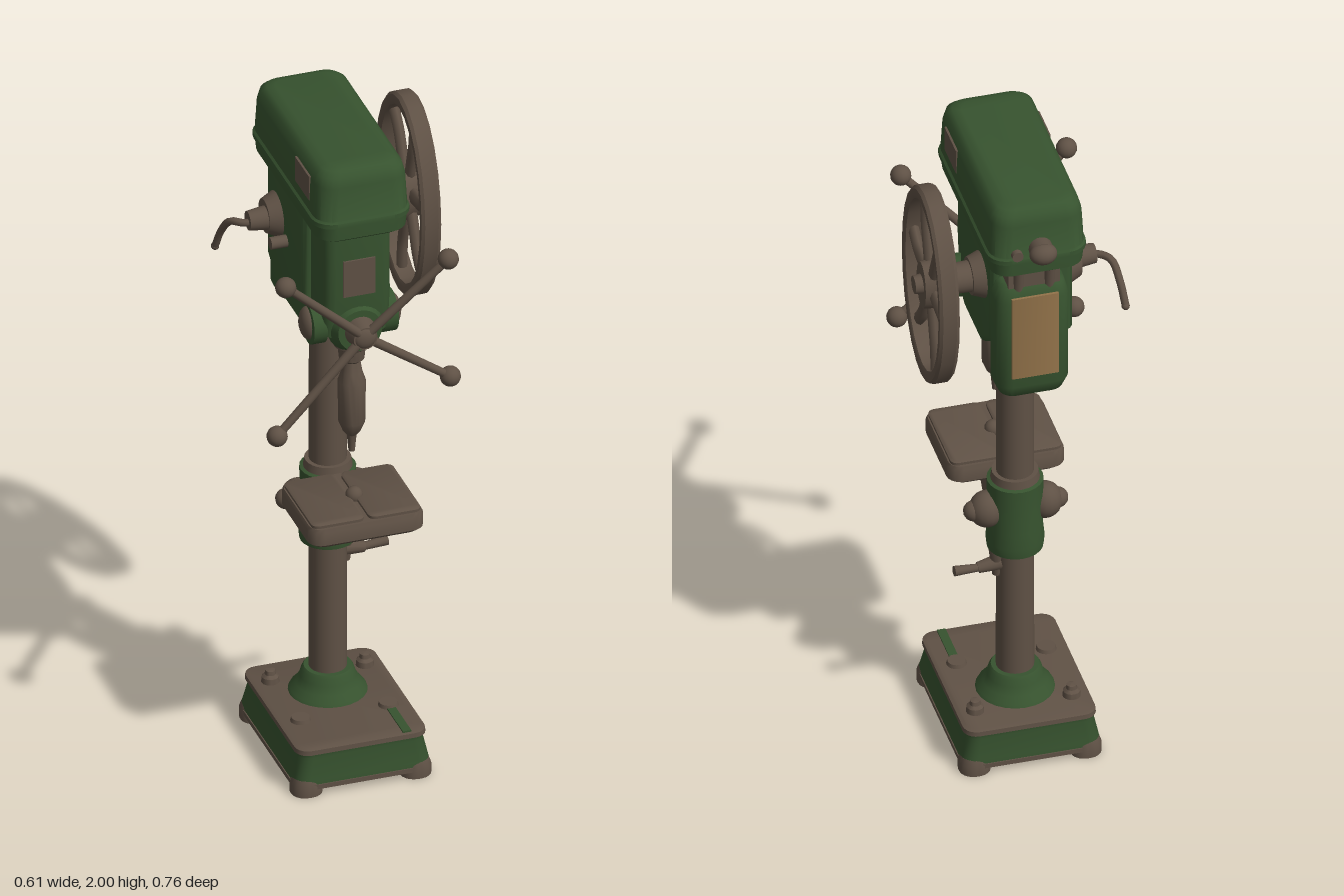
import * as THREE from 'three';
import { toCreasedNormals } from 'three/addons/utils/BufferGeometryUtils.js';

const paint = (name, color) => {
  const m = new THREE.MeshStandardMaterial({ color });
  m.name = name;
  return m;
};

// Stack of rounded rectangles: [y, halfWidth, halfDepth, cornerRadius]
function loft(sections) {
  const pos = [], idx = [], n = 24;
  for (const [y, w, d, r] of sections) {
    for (let c = 0; c < 4; c++) {
      const sx = c === 0 || c === 3 ? 1 : -1, sz = c < 2 ? 1 : -1;
      for (let k = 0; k < 6; k++) {
        const a = (c + k / 5) * Math.PI / 2;
        pos.push(sx * (w - r) + Math.cos(a) * r, y, sz * (d - r) + Math.sin(a) * r);
      }
    }
  }
  const last = (sections.length - 1) * n;
  for (let s = 0; s < last; s += n) {
    for (let i = 0; i < n; i++) {
      const j = (i + 1) % n;
      idx.push(s + i, s + n + i, s + j, s + j, s + n + i, s + n + j);
    }
  }
  for (let i = 1; i < n - 1; i++) idx.push(0, i, i + 1, last, last + i + 1, last + i);
  const g = new THREE.BufferGeometry();
  g.setAttribute('position', new THREE.Float32BufferAttribute(pos, 3));
  g.setIndex(idx);
  return toCreasedNormals(g, 0.7);
}

// Side profile of [z, y] points, extruded across x
function sideExtrude(points, half, bevel) {
  const shape = new THREE.Shape(points.map(p => new THREE.Vector2(...p)));
  const depth = 2 * (half - bevel);
  const g = new THREE.ExtrudeGeometry(shape, { depth, bevelSize: bevel, bevelThickness: bevel, bevelSegments: 3 });
  g.translate(0, 0, -depth / 2).rotateY(-Math.PI / 2);
  return toCreasedNormals(g, 0.7);
}

const lathe = pts => toCreasedNormals(new THREE.LatheGeometry(pts.map(p => new THREE.Vector2(...p)), 24), 0.6);
const tube = (pts, r) => new THREE.TubeGeometry(new THREE.CatmullRomCurve3(pts.map(p => new THREE.Vector3(...p))), 16, r, 8);

export function createModel() {
  const root = new THREE.Group();
  root.name = 'drillPress';
  const green = paint('green enamel', 0x37532f);
  const steel = paint('brown steel', 0x5f5145);
  const tan = paint('tan label', 0x93734a);

  const add = (name, geo, mat, x = 0, y = 0, z = 0, parent = root) => {
    const m = new THREE.Mesh(geo, mat);
    m.name = name;
    m.position.set(x, y, z);
    parent.add(m);
    return m;
  };
  // Cylinder along a chosen axis; r1 is the radius at the positive end
  const cyl = (name, mat, r1, r0, h, x, y, z, axis = 'y', parent = root) => {
    const g = new THREE.CylinderGeometry(r1, r0, h, 24);
    if (axis === 'x') g.rotateZ(-Math.PI / 2);
    if (axis === 'z') g.rotateX(Math.PI / 2);
    return add(name, g, mat, x, y, z, parent);
  };
  const rod = (name, a, b, r0, r1) => {
    const p = new THREE.Vector3(...a), q = new THREE.Vector3(...b);
    const m = add(name, new THREE.CylinderGeometry(r1, r0, p.distanceTo(q), 12), steel);
    m.position.copy(p).lerp(q, 0.5);
    m.quaternion.setFromUnitVectors(new THREE.Vector3(0, 1, 0), q.sub(p).normalize());
  };

  // Base
  add('base', loft([[0.025, 0.2, 0.255, 0.04], [0.05, 0.2, 0.255, 0.04], [0.115, 0.187, 0.242, 0.04], [0.13, 0.19, 0.245, 0.04]]), green, 0, 0, 0.03);
  add('baseTop', loft([[0.128, 0.193, 0.248, 0.04], [0.142, 0.192, 0.247, 0.04], [0.146, 0.182, 0.237, 0.035]]), steel, 0, 0, 0.03);
  add('baseRim', loft([[0.022, 0.203, 0.258, 0.04], [0.036, 0.203, 0.258, 0.04]]), steel, 0, 0, 0.03);
  add('baseUnderside', loft([[0.016, 0.19, 0.245, 0.04], [0.022, 0.19, 0.245, 0.04]]), green, 0, 0, 0.03);
  for (const sx of [-1, 1]) {
    for (const sz of [-1, 1]) add('foot', loft([[0, 0.045, 0.045, 0.04], [0.03, 0.045, 0.045, 0.04], [0.05, 0.038, 0.038, 0.035]]), steel, sx * 0.161, 0, 0.03 + sz * 0.216);
    add('baseLug', lathe([[0.026, 0], [0.024, 0.02], [0.016, 0.028], [0.014, 0.04], [0, 0.044]]), steel, sx * 0.14, 0.143, -0.12);
    cyl('baseBoss', steel, 0.026, 0.03, 0.014, sx * 0.13, 0.15, 0.11);
  }
  add('baseSlot', new THREE.BoxGeometry(0.025, 0.008, 0.16), green, 0.13, 0.146, 0.19);

  // Column and its flange
  cyl('column', steel, 0.053, 0.054, 1.3, 0, 0.8, -0.033);
  add('columnFlange', lathe([[0.115, 0.14], [0.108, 0.155], [0.092, 0.172], [0.08, 0.195], [0.074, 0.215], [0.068, 0.224], [0.05, 0.224]]), green, 0, 0, -0.033);
  cyl('columnCollar', steel, 0.064, 0.06, 0.08, 0, 1.4, -0.033);

  // Table and bracket
  add('tableSleeve', lathe([[0.05, 0.64], [0.08, 0.64], [0.083, 0.67], [0.078, 0.72], [0.08, 0.87], [0.05, 0.88]]), green, 0, 0, -0.033);
  cyl('sleeveRing', steel, 0.066, 0.07, 0.025, 0, 0.885, -0.033);
  add('tableArm', sideExtrude([[0.21, 0.825], [0.2, 0.79], [0.13, 0.755], [0.07, 0.69], [0.04, 0.67], [-0.02, 0.67], [-0.02, 0.825]], 0.055, 0.012), steel);
  for (const s of [-1, 1]) {
    add('clampLug', new THREE.SphereGeometry(0.05, 18, 12).scale(1, 1.1, 1), steel, s * 0.085, 0.78, -0.04);
    add('clampBolt', new THREE.SphereGeometry(0.03, 14, 10), steel, s * 0.122, 0.78, -0.04);
  }
  add('table', loft([[0.82, 0.16, 0.135, 0.04], [0.83, 0.17, 0.145, 0.04], [0.87, 0.17, 0.145, 0.04], [0.88, 0.165, 0.14, 0.035]]), steel, 0, 0, 0.178);
  for (const s of [-1, 1]) {
    add('tablePad', loft([[0.875, 0.077, 0.132, 0.02], [0.888, 0.077, 0.132, 0.02], [0.892, 0.07, 0.125, 0.015]]), steel, s * 0.084, 0, 0.178);
  }
  add('tableUnderside', loft([[0.816, 0.145, 0.12, 0.035], [0.822, 0.145, 0.12, 0.035]]), green, 0, 0, 0.178);
  add('tableKnob', new THREE.SphereGeometry(0.025, 16, 10), steel, 0.005, 0.89, 0.178);
  rod('crankBoss', [0.055, 0.64, -0.04], [0.055, 0.55, -0.04], 0.024, 0.013);
  rod('crankShaft', [0.045, 0.59, -0.04], [0.11, 0.58, -0.04], 0.024, 0.016);
  rod('crankHandle', [0.1, 0.58, -0.04], [0.18, 0.585, -0.045], 0.011, 0.015);

  // Head casting: wide rear body and a narrower front
  add('headBody', sideExtrude([[0.09, 1.8], [0.09, 1.45], [0.06, 1.435], [-0.1, 1.435], [-0.19, 1.5], [-0.19, 1.8]], 0.122, 0.022), green);
  add('headFront', sideExtrude([[0.2, 1.8], [0.205, 1.57], [0.19, 1.46], [0.13, 1.445], [0, 1.445], [0, 1.8]], 0.1, 0.032), green);
  add('beltCover', loft([
    [1.775, 0.12, 0.285, 0.05], [1.785, 0.134, 0.298, 0.055], [1.825, 0.138, 0.3, 0.055], [1.828, 0.144, 0.305, 0.06], [1.842, 0.144, 0.305, 0.06],
    [1.848, 0.138, 0.3, 0.055], [1.95, 0.133, 0.295, 0.055], [1.98, 0.125, 0.287, 0.05], [1.994, 0.11, 0.272, 0.045], [2, 0.088, 0.25, 0.035],
  ]), green, 0.005, 0, -0.02);
  for (const s of [-1, 1]) add('coverPlate', loft([[1.878, 0.004, 0.06, 0.003], [1.955, 0.004, 0.06, 0.003]]), steel, 0.005 + s * 0.134, 0, 0.13);
  add('frontPlate', new THREE.BoxGeometry(0.095, 0.115, 0.008), steel, 0, 1.63, 0.236);
  add('rearKnob', new THREE.SphereGeometry(0.04, 18, 12).scale(1, 0.8, 0.8), steel, 0.006, 1.87, -0.35);
  cyl('rearKnobStem', steel, 0.034, 0.034, 0.05, 0.006, 1.87, -0.325, 'z');
  cyl('rearScrew', steel, 0.016, 0.016, 0.03, 0.075, 1.86, -0.32, 'z');

  // Motor housing behind the head
  add('motorHousing', loft([
    [1.32, 0.07, 0.03, 0.025], [1.335, 0.092, 0.05, 0.04], [1.37, 0.107, 0.06, 0.045],
    [1.66, 0.107, 0.06, 0.045], [1.7, 0.095, 0.05, 0.04], [1.71, 0.08, 0.04, 0.03],
  ]), green, 0.012, 0, -0.225);
  add('motorLabel', loft([[1.405, 0.068, 0.004, 0.002], [1.68, 0.068, 0.004, 0.002]]), tan, 0.012, 0, -0.287);
  add('motorBracket', new THREE.BoxGeometry(0.15, 0.06, 0.09), steel, 0.01, 1.735, -0.225);
  for (const s of [-1, 1]) rod('motorStud', [0.01 + s * 0.045, 1.69, -0.26], [0.01 + s * 0.045, 1.79, -0.275], 0.016, 0.016);

  // Side bosses
  for (const s of [-1, 1]) {
    cyl('shaftBoss', steel, s > 0 ? 0.055 : 0.07, s > 0 ? 0.07 : 0.05, 0.04, s * 0.138, 1.66, -0.12, 'x');
    cyl('sideScrew', steel, 0.018, 0.018, 0.05, s * 0.145, 1.62, -0.035, 'x');
    cyl('feedBoss', green, 0.062, 0.062, 0.04, s * 0.105, 1.46, 0.155, 'x');
    add('feedCap', new THREE.SphereGeometry(0.042, 16, 10).scale(0.65, 1.2, 1), steel, s * 0.122, 1.46, 0.155);
  }
  cyl('leverCollar', steel, 0.036, 0.028, 0.06, -0.18, 1.66, -0.11, 'x');

  // Hooked lever on the right side
  add('hookLever', tube([[-0.17, 1.66, -0.105], [-0.22, 1.655, -0.11], [-0.25, 1.65, -0.14], [-0.264, 1.6, -0.18], [-0.272, 1.535, -0.21]], 0.011), steel);
  add('hookTip', new THREE.SphereGeometry(0.012, 10, 8), steel, -0.272, 1.535, -0.21);

  // Oval flywheel on the left side
  const wheel = new THREE.Group();
  wheel.name = 'flywheel';
  wheel.position.set(0.268, 1.655, -0.119);
  wheel.scale.set(1, 1, 0.645);
  root.add(wheel);
  const ring = lathe([[0.276, -0.024], [0.285, -0.029], [0.308, -0.029], [0.316, -0.02], [0.316, 0.02], [0.308, 0.029], [0.285, 0.029], [0.276, 0.024], [0.276, -0.024]]);
  add('wheelRim', ring.rotateZ(-Math.PI / 2), steel, 0, 0, 0, wheel);
  for (let i = 0; i < 6; i++) {
    const at = (a, r) => [0, Math.cos(a) * r, Math.sin(a) * r];
    const a = i * Math.PI / 3 + 0.3;
    const spoke = tube([at(a - 0.1, 0.03), at(a + 0.06, 0.12), at(a + 0.08, 0.2), at(a, 0.29)], 0.025);
    add('wheelSpoke', spoke.scale(0.65, 1, 1), steel, 0, 0, 0, wheel);
  }
  cyl('wheelHub', steel, 0.075, 0.085, 0.056, 0, 0, 0, 'x', wheel);
  cyl('wheelShaft', steel, 0.042, 0.046, 0.12, 0.2, 1.66, -0.12, 'x');
  cyl('wheelCap', steel, 0.026, 0.032, 0.05, 0.293, 1.66, -0.119, 'x');

  // Feed hub with four ball-ended handles
  cyl('feedHousing', green, 0.065, 0.085, 0.04, 0, 1.46, 0.225, 'z');
  cyl('feedHub', steel, 0.035, 0.048, 0.06, 0, 1.46, 0.262, 'z');
  add('feedHubCap', new THREE.SphereGeometry(0.034, 16, 10).scale(1, 1, 0.5), steel, 0, 1.46, 0.285);
  for (const tip of [[-0.252, 1.7, 0.336], [0.229, 1.7, 0.336], [-0.258, 1.187, 0.28], [0.262, 1.27, 0.258]]) {
    rod('feedHandle', [0, 1.46, 0.28], tip, 0.014, 0.012);
    add('handleBall', new THREE.SphereGeometry(0.03, 16, 12), steel, ...tip);
  }

  // Spindle and chuck
  add('spindle', lathe([
    [0, 1.03], [0.009, 1.032], [0.014, 1.085], [0.026, 1.1], [0.038, 1.13], [0.04, 1.26],
    [0.03, 1.29], [0.024, 1.325], [0.036, 1.335], [0.04, 1.37], [0.052, 1.38], [0.054, 1.45],
  ]), steel, 0, 0, 0.172);

  // Whole machine sits turned slightly on the spot
  root.position.x = -0.02;
  root.rotation.y = 0.05;
  const model = new THREE.Group();
  model.name = 'model';
  model.add(root);
  return model;
}
